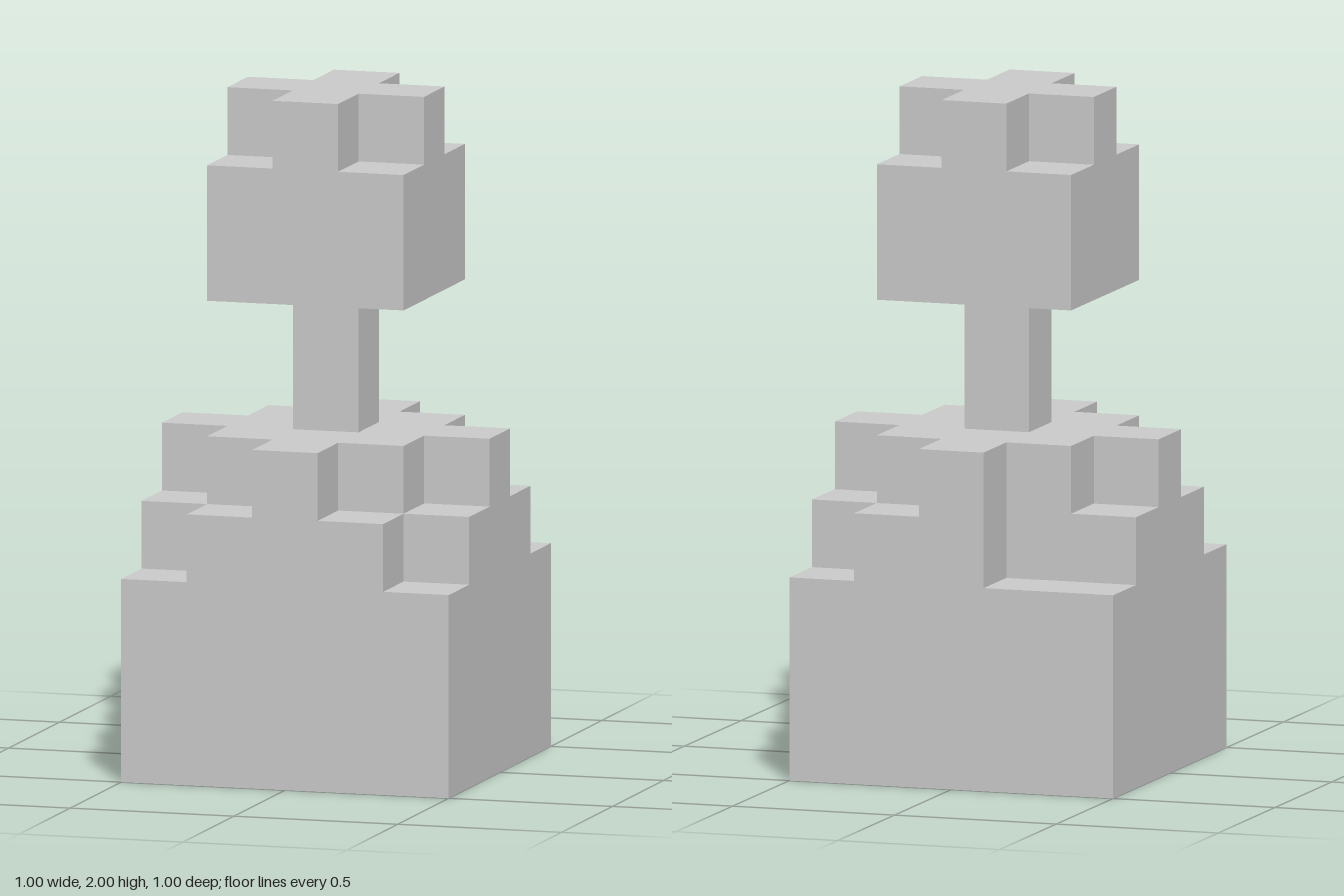
import * as THREE from 'three';
import { mergeGeometries } from 'three/addons/utils/BufferGeometryUtils.js';

const CELL = 0.2;

// Outer skin of a block of square columns; rows run back to front, values are heights in cells.
function columnSkin(rows) {
  const n = rows.length;
  const mid = (n - 1) / 2;
  const heightAt = (i, j) => rows[j]?.[i] ?? 0;
  const faces = [new THREE.PlaneGeometry(n * CELL, n * CELL).rotateX(Math.PI / 2)]; // underside

  for (let j = 0; j < n; j++) {
    for (let i = 0; i < n; i++) {
      const x = (i - mid) * CELL;
      const z = (j - mid) * CELL;
      const h = heightAt(i, j);
      // top of the column
      faces.push(new THREE.PlaneGeometry(CELL, CELL).rotateX(-Math.PI / 2).translate(x, h * CELL, z));
      // walls only where the neighbour is lower
      for (const [dx, dz] of [[1, 0], [-1, 0], [0, 1], [0, -1]]) {
        const low = heightAt(i + dx, j + dz);
        if (low >= h) continue;
        faces.push(new THREE.PlaneGeometry(CELL, (h - low) * CELL)
          .rotateY(Math.atan2(dx, dz))
          .translate(x + dx * CELL / 2, (h + low) / 2 * CELL, z + dz * CELL / 2));
      }
    }
  }
  return mergeGeometries(faces);
}

export function createModel() {
  const group = new THREE.Group();
  const material = new THREE.MeshStandardMaterial({ color: 0xcccccc, flatShading: true });

  const add = (name, geometry, y) => {
    const mesh = new THREE.Mesh(geometry, material);
    mesh.name = name;
    mesh.position.y = y;
    group.add(mesh);
  };

  // Stepped base, with one corner cut deeper at the back
  add('base', columnSkin([
    [3, 3, 5, 4, 3],
    [4, 5, 5, 5, 4],
    [5, 5, 5, 5, 5],
    [4, 5, 5, 5, 4],
    [3, 4, 5, 4, 3],
  ]), 0);

  // Square stem between base and head
  add('stem', new THREE.BoxGeometry(CELL, 2 * CELL, CELL), 1.2);

  // Head with a raised cross on top
  add('head', columnSkin([
    [2, 3, 2],
    [3, 3, 3],
    [2, 3, 2],
  ]), 1.4);

  return group;
}
